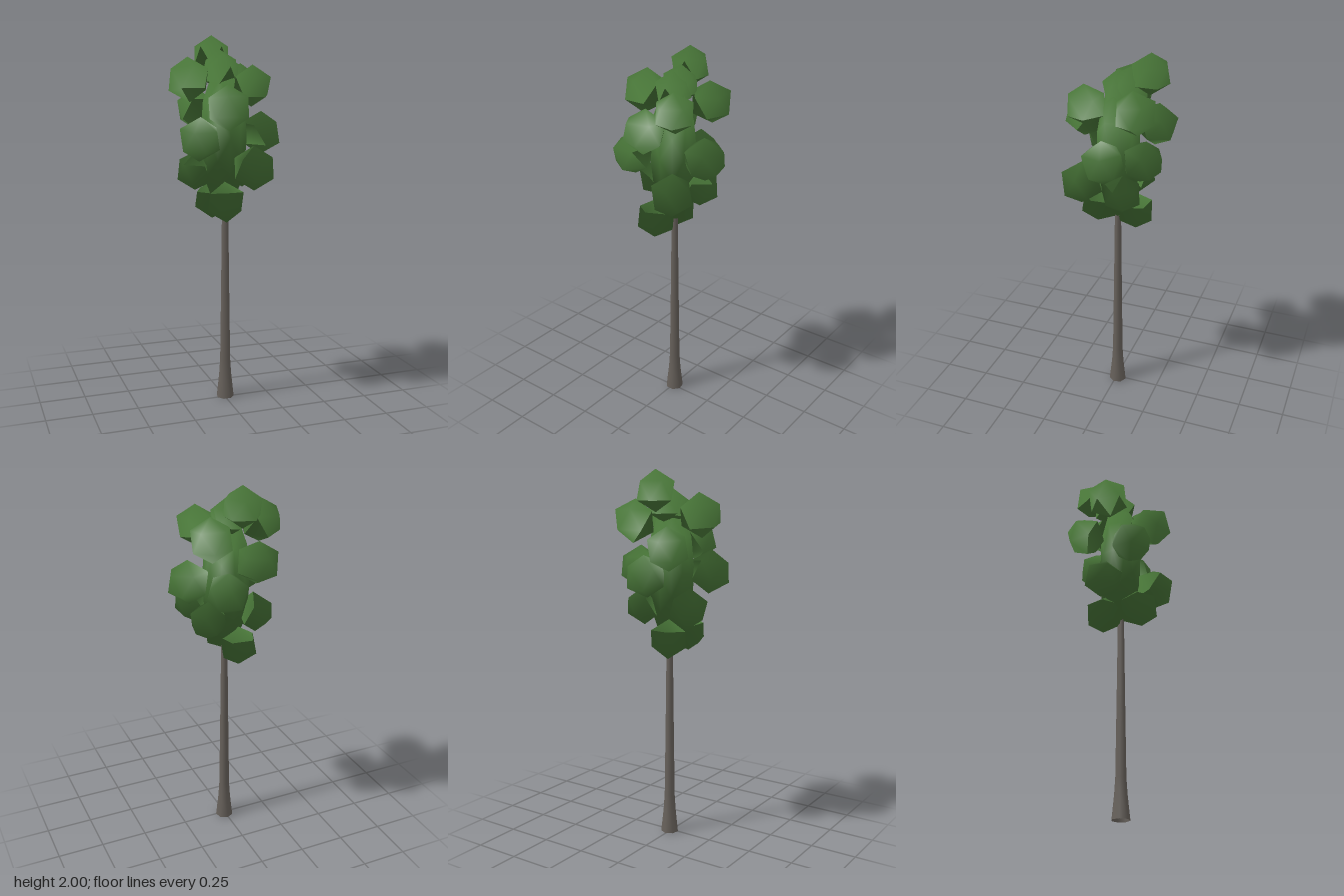
import * as THREE from 'three';

export function createModel() {
  const tree = new THREE.Group();
  tree.name = 'tree';
  const bark = new THREE.MeshStandardMaterial({ color: 0x66605a, side: THREE.DoubleSide });
  bark.name = 'bark';
  const leaf = new THREE.MeshStandardMaterial({ color: 0x477437 });
  leaf.name = 'leafGreen';

  // Trunk: open tube with a flared foot and a long slender taper, seven sides
  const profile = [[0.049, 0], [0.035, 0.13], [0.029, 0.22], [0.023, 0.65], [0.018, 1.05], [0.01, 1.7]];
  const trunk = new THREE.Mesh(
    new THREE.LatheGeometry(profile.map(([r, y]) => new THREE.Vector2(r, y)), 7), bark);
  trunk.name = 'trunk';
  trunk.position.set(0.005, 0, -0.01);
  trunk.rotation.y = Math.PI;
  tree.add(trunk);

  // Foliage normals mostly radiate from the crown centre, with a little of each clump's own roundness
  const centre = new THREE.Vector3(0, 1.47, 0);
  const v = new THREE.Vector3();
  const own = new THREE.Vector3();
  function addFoliage(name, geometry, x, y, z) {
    const pos = geometry.attributes.position;
    for (let i = 0; i < pos.count; i++) {
      own.fromBufferAttribute(pos, i).normalize();
      v.fromBufferAttribute(pos, i);
      v.set(v.x + x, v.y + y, v.z + z).sub(centre).normalize().addScaledVector(own, 0.2).normalize();
      geometry.attributes.normal.setXYZ(i, v.x, v.y, v.z);
    }
    const mesh = new THREE.Mesh(geometry, leaf);
    mesh.name = name;
    mesh.position.set(x, y, z);
    tree.add(mesh);
  }

  // Inner mass around the trunk
  addFoliage('crownCore', new THREE.IcosahedronGeometry(1, 1).scale(0.128, 0.385, 0.116), -0.003, 1.465, -0.01);

  // Leaf clumps: x, y, z, radius
  const clumps = [
    [-0.018, 1.893, -0.172, 0.107],
    [-0.01, 1.805, -0.02, 0.1],
    [-0.005, 1.825, -0.07, 0.1],
    [-0.192, 1.77, -0.022, 0.118],
    [0.105, 1.74, 0.125, 0.108],
    [0.135, 1.738, -0.145, 0.115],
    [-0.04, 1.632, 0.182, 0.118],
    [-0.1, 1.605, -0.185, 0.115],
    [-0.172, 1.47, 0.11, 0.117],
    [0.203, 1.485, 0, 0.117],
    [0.055, 1.455, -0.162, 0.114],
    [0.11, 1.315, 0.152, 0.118],
    [-0.145, 1.287, -0.06, 0.108],
    [0.125, 1.288, -0.075, 0.104],
    [-0.03, 1.135, 0.105, 0.108],
    [-0.04, 1.122, -0.09, 0.107],
  ];
  clumps.forEach(([x, y, z, r], i) => {
    const ball = new THREE.IcosahedronGeometry(r, 0);
    // Stand each clump on a corner, then spin and lean it
    ball.rotateZ(-Math.atan(2 / (1 + Math.sqrt(5)))).rotateY(i * 2.4).rotateX(0.15 * Math.sin(i * 1.7));
    addFoliage('leafClump' + (i + 1), ball, x, y, z);
  });
  return tree;
}
